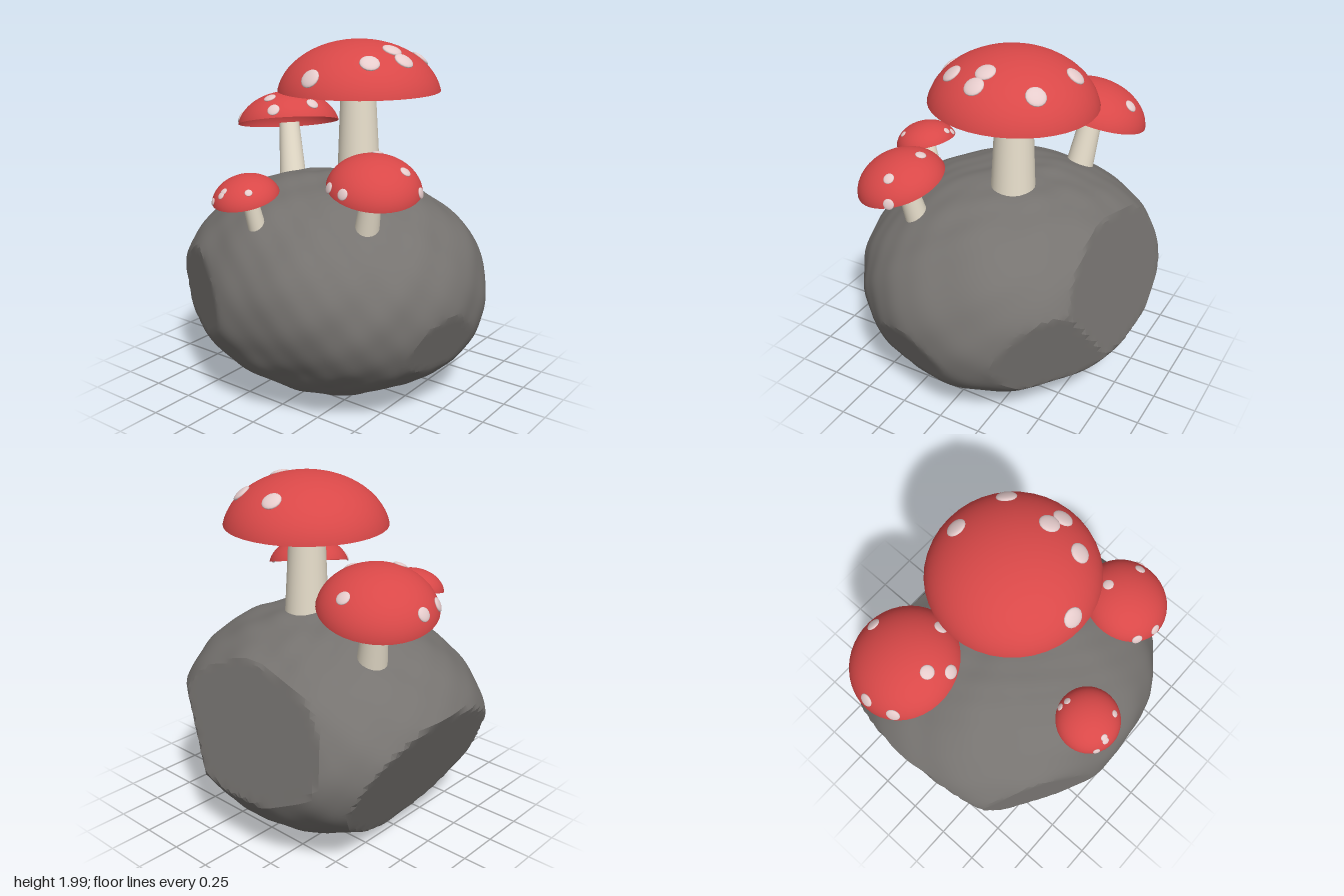
import * as THREE from 'three';
import { toCreasedNormals } from 'three/addons/utils/BufferGeometryUtils.js';

const mat = (color, side = THREE.FrontSide) =>
  new THREE.MeshStandardMaterial({ color, side });
const capMat = mat(0xd94848, THREE.DoubleSide);
const spotMat = mat(0xe6cccc);
const stemMat = mat(0xe8dfcc);
const rockMat = mat(0x767370);

const UP = new THREE.Vector3(0, 1, 0);
const FLAT = 0.72;              // cap height compared with a sphere
const RIM = 0.45 * Math.PI;     // where the dome ends

function addMesh(parent, name, geometry, material) {
  const mesh = new THREE.Mesh(geometry, material);
  mesh.name = name;
  parent.add(mesh);
  return mesh;
}

// Boulder: a lumpy ellipsoid with flat faces chipped off
function makeRock() {
  const cuts = [
    [-0.91, -0.415, 0, 0.713],  // lower left
    [0.03, 0.265, -0.964, 0.70], // back
    [0.91, -0.35, 0.2, 0.82],   // right
    [0.62, -0.2, -0.76, 0.78],  // back right
    [-0.5, 0, 0.866, 0.78],     // front left
    [0, -1, 0, 0.61],           // underside
  ].map(([x, y, z, w]) => ({ n: new THREE.Vector3(x, y, z).normalize(), w }));
  const bulge = new THREE.Vector3(-0.7, -0.1, -0.7).normalize();
  const geo = new THREE.IcosahedronGeometry(1, 28);
  const pos = geo.attributes.position;
  const d = new THREE.Vector3();
  for (let i = 0; i < pos.count; i++) {
    d.fromBufferAttribute(pos, i).normalize();
    const rx = d.x < 0 ? 0.94 : 0.885;
    const rz = d.z < 0 ? 0.86 : 0.80;
    let r = 1 / Math.hypot(d.x / rx, d.y / 0.625, d.z / rz);
    r *= 1 + 0.07 * Math.max(0, d.dot(bulge)) ** 4;
    r += 0.010 * Math.sin(5 * d.x + 2 * d.z + 1) * Math.sin(6 * d.y - 3 * d.z)
      + 0.006 * Math.sin(11 * d.x - 4 * d.y) * Math.sin(10 * d.z + 7 * d.y + 2)
      + 0.003 * Math.sin(21 * d.y + 8 * d.x) * Math.sin(19 * d.z - 13 * d.x);
    for (const { n, w } of cuts) {
      const k = d.dot(n);
      if (k > 0) r = Math.min(r, w / k);
    }
    d.multiplyScalar(r);
    pos.setXYZ(i, d.x, d.y + 0.62, d.z);
  }
  return toCreasedNormals(geo, 0.3);
}

// Tapered stem between two points
function addStem(parent, from, to, rBottom, rTop) {
  const a = new THREE.Vector3(...from), b = new THREE.Vector3(...to);
  const axis = b.clone().sub(a);
  const geo = new THREE.CylinderGeometry(rTop, rBottom, axis.length(), 24);
  const stem = addMesh(parent, 'stem', geo, stemMat);
  stem.position.copy(a).add(b).multiplyScalar(0.5);
  stem.quaternion.setFromUnitVectors(UP, axis.normalize());
}

// Hollow dome with raised spots, placed by the centre of its rim
function addCap(parent, { rim, axis, radius, spotRadius, spots }) {
  const cap = new THREE.Group();
  cap.name = 'cap';
  cap.position.set(...rim);
  cap.quaternion.setFromUnitVectors(UP, new THREE.Vector3(...axis).normalize());
  parent.add(cap);

  const R = radius / Math.sin(RIM);
  const drop = FLAT * R * Math.cos(RIM);
  const dome = new THREE.SphereGeometry(R, 40, 14, 0, Math.PI * 2, 0, RIM);
  dome.scale(1, FLAT, 1).translate(0, -drop, 0);
  addMesh(cap, 'dome', dome, capMat);

  for (const [x, z] of spots) {
    const h = Math.sqrt(Math.max(0.05 * R * R, R * R - x * x - z * z));
    const spot = addMesh(cap, 'spot', new THREE.SphereGeometry(spotRadius, 16, 10), spotMat);
    spot.scale.y = 0.3;
    spot.position.set(x, FLAT * h - drop, z);
    spot.quaternion.setFromUnitVectors(UP, new THREE.Vector3(x, h / FLAT, z).normalize());
  }
}

const mushrooms = [
  {
    name: 'largeMushroom',
    stem: [[0.09, 1.12, -0.1], [0.08, 1.7, -0.1], 0.128, 0.1],
    rim: [0.085, 1.725, -0.1], axis: [-0.02, 1, -0.02], radius: 0.455, spotRadius: 0.055,
    spots: [[-0.06, -0.315], [0.24, -0.25], [0.24, 0.035], [0.325, 0.05], [0.235, 0.235], [-0.02, 0.41]],
  },
  {
    name: 'leftMushroom',
    stem: [[-0.495, 1.06, -0.22], [-0.565, 1.44, -0.27], 0.085, 0.062],
    rim: [-0.575, 1.44, -0.275], axis: [-0.22, 1, -0.2], radius: 0.312, spotRadius: 0.038,
    spots: [[0.05, -0.21], [-0.27, 0.015], [-0.24, 0.17], [0.04, 0.21], [0.115, 0.27], [0.26, 0.08]],
  },
  {
    name: 'rightMushroom',
    stem: [[0.425, 1.03, 0.305], [0.485, 1.31, 0.34], 0.068, 0.052],
    rim: [0.505, 1.33, 0.35], axis: [0.22, 1, 0.2], radius: 0.245, spotRadius: 0.03,
    spots: [[-0.08, -0.125], [0.135, -0.06], [0.225, -0.08], [-0.145, 0.19], [-0.035, 0.225]],
  },
  {
    name: 'smallMushroom',
    stem: [[-0.103, 1.0, 0.545], [-0.118, 1.235, 0.605], 0.05, 0.041],
    rim: [-0.125, 1.235, 0.62], axis: [-0.03, 1, 0.24], radius: 0.18, spotRadius: 0.02,
    spots: [[-0.06, -0.16], [-0.015, -0.155], [0.105, 0.075], [-0.035, 0.135], [-0.03, 0.115], [-0.1, 0.14]],
  },
];

export function createModel() {
  const model = new THREE.Group();
  model.name = 'mushroomRock';
  addMesh(model, 'rock', makeRock(), rockMat);
  for (const m of mushrooms) {
    const group = new THREE.Group();
    group.name = m.name;
    addStem(group, ...m.stem);
    addCap(group, m);
    model.add(group);
  }
  return model;
}
